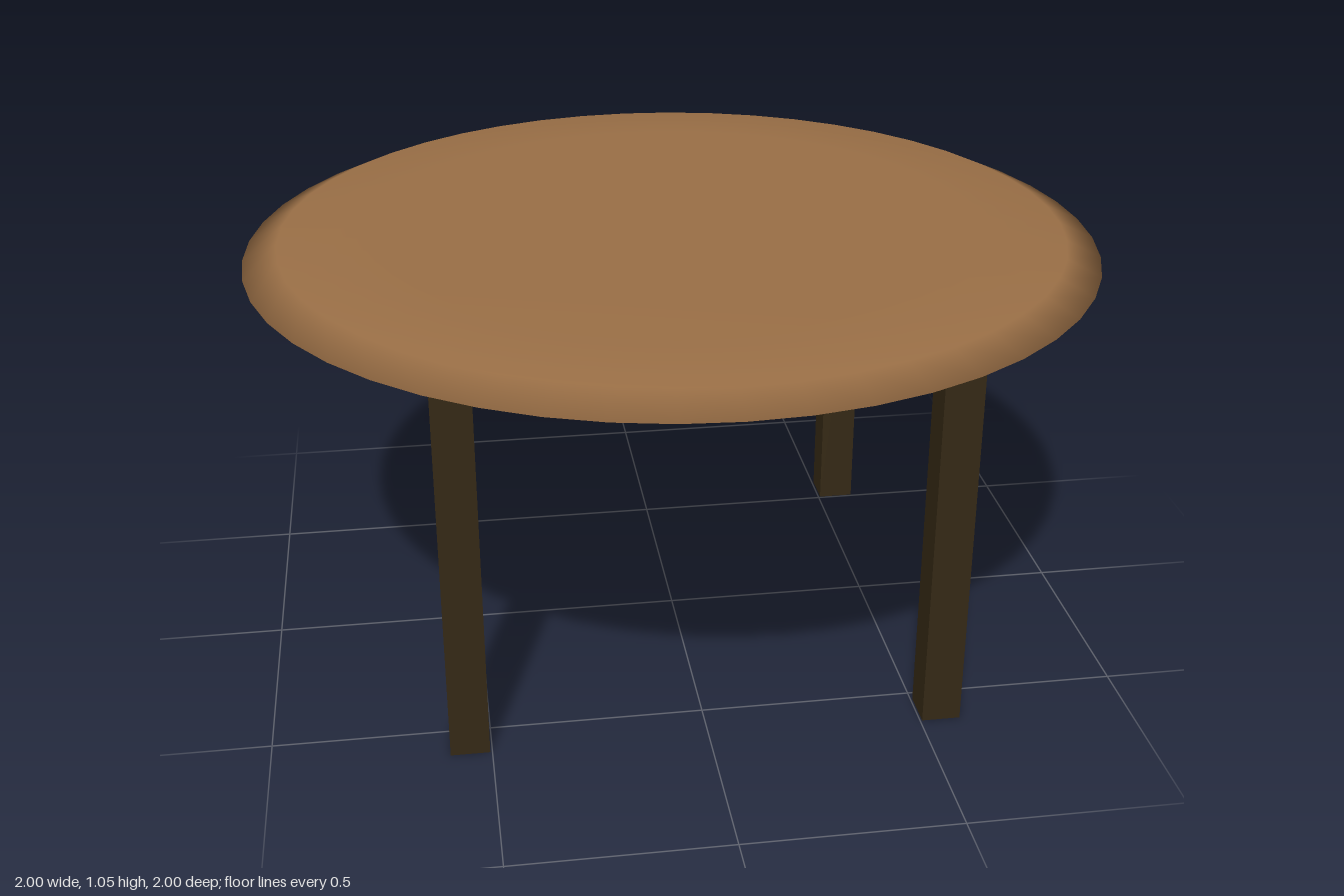
import * as THREE from 'three';

const topWood = new THREE.MeshStandardMaterial({ color: 0x9a6f46 });
topWood.name = 'warm brown wood';
const legWood = new THREE.MeshStandardMaterial({ color: 0x352915 });
legWood.name = 'dark brown wood';

export function createModel() {
  const table = new THREE.Group();
  table.name = 'roundTable';

  // Round top: thin disc tapering to a pointed rim, smooth shaded
  const profile = [
    [0, 0.95], [0.7, 0.951], [0.92, 0.963], [1, 1],
    [0.92, 1.037], [0.7, 1.049], [0, 1.05],
  ].map(([r, y]) => new THREE.Vector2(r, y));
  const top = new THREE.Mesh(new THREE.LatheGeometry(profile, 48), topWood);
  top.name = 'tableTop';
  table.add(top);

  // Four square legs; the front left one stands slightly further forward
  const legHeight = 0.96;
  const legGeometry = new THREE.BoxGeometry(0.09, legHeight, 0.09);
  const legs = [
    ['frontLeftLeg', 0.55, 0.57],
    ['frontRightLeg', -0.55, 0.55],
    ['backLeftLeg', 0.55, -0.55],
    ['backRightLeg', -0.55, -0.55],
  ];
  for (const [name, x, z] of legs) {
    const leg = new THREE.Mesh(legGeometry, legWood);
    leg.name = name;
    leg.position.set(x, legHeight / 2, z);
    table.add(leg);
  }
  return table;
}
